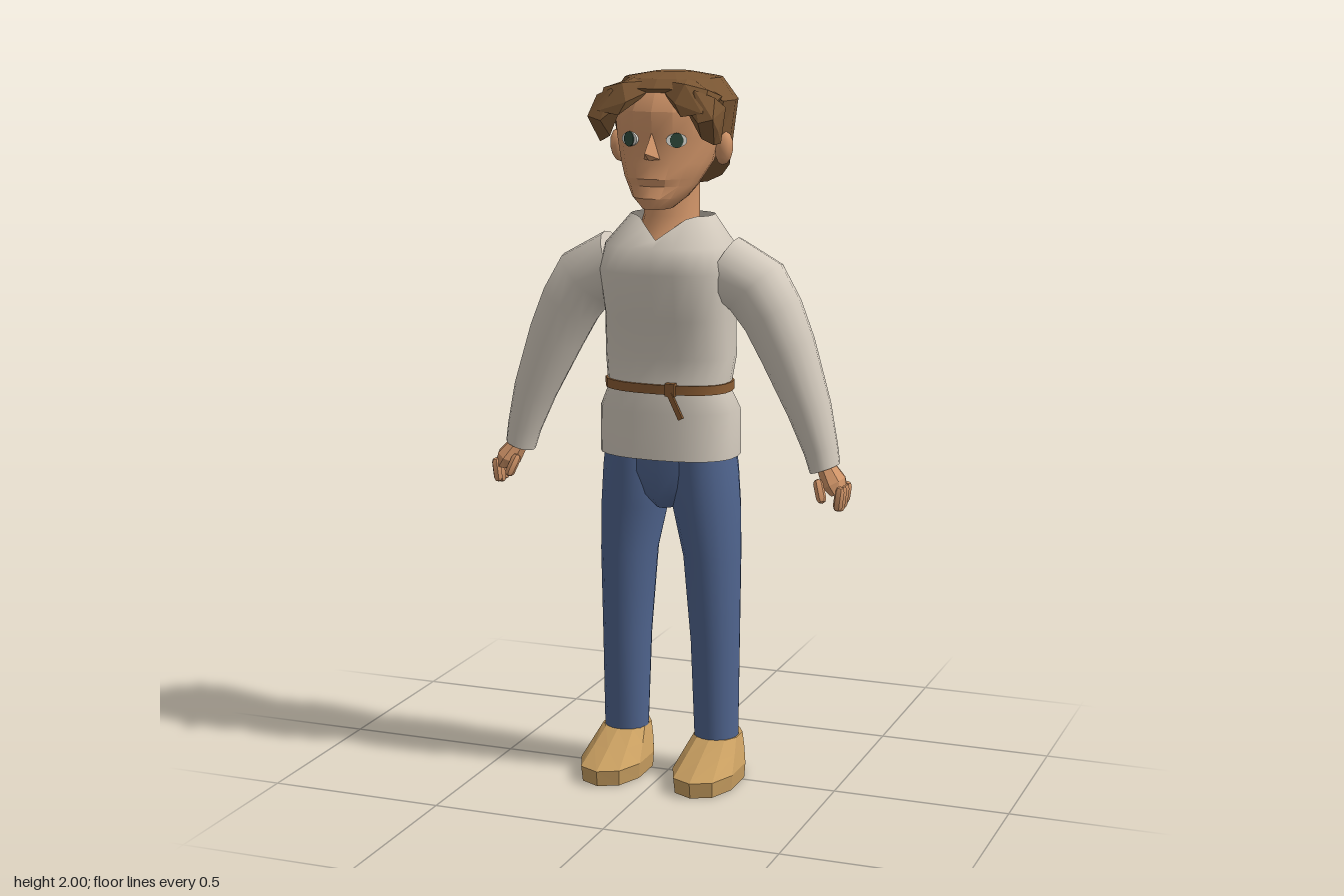
import * as THREE from 'three';
import { toCreasedNormals } from 'three/addons/utils/BufferGeometryUtils.js';
import { ConvexGeometry } from 'three/addons/geometries/ConvexGeometry.js';

const V = (x, y, z) => new THREE.Vector3(x, y, z);
const material = (name, color) => Object.assign(new THREE.MeshStandardMaterial({ color }), { name });

// One cross-section: centre x and y, half width, back and front z, tilt in the xy plane.
function ring([cx, cy, rx, zBack, zFront, tilt = 0], n, p = 1) {
  const cz = (zBack + zFront) / 2, rz = (zFront - zBack) / 2;
  const soft = (v) => Math.sign(v) * Math.abs(v) ** p;
  return Array.from({ length: n }, (_, i) => {
    const a = (i / n) * Math.PI * 2, u = rx * soft(Math.sin(a));
    return V(cx + u * Math.cos(tilt), cy + u * Math.sin(tilt), cz + rz * soft(Math.cos(a)));
  });
}

// Skin over closed rings given from bottom to top, with optional end caps.
function skin(rings, { caps = true, flat = false } = {}) {
  const n = rings[0].length, pts = rings.flat(), idx = [];
  for (let j = 0; j < rings.length - 1; j++)
    for (let i = 0; i < n; i++) {
      const a = j * n + i, b = j * n + ((i + 1) % n);
      idx.push(a, b, b + n, a, b + n, a + n);
    }
  if (caps) [rings[0], rings[rings.length - 1]].forEach((r, end) => {
    const base = pts.length;
    const mid = r.reduce((s, v) => s.add(v), V(0, 0, 0)).divideScalar(n);
    pts.push(...r, mid);
    for (let i = 0; i < n; i++) {
      const a = base + i, b = base + ((i + 1) % n);
      end ? idx.push(a, b, base + n) : idx.push(b, a, base + n);
    }
  });
  let g = new THREE.BufferGeometry().setFromPoints(pts);
  g.setIndex(idx);
  if (flat) g = g.toNonIndexed();
  g.computeVertexNormals();
  return g;
}
const loft = (rows, n, opt = {}) => skin(rows.map((r) => ring(r, n, opt.p)), opt);

// Copy of a geometry reflected in x, with the corner order restored.
function mirrored(geo) {
  const g = geo.index ? geo.toNonIndexed() : geo.clone();
  g.scale(-1, 1, 1);
  for (const key of ['position', 'normal']) {
    const at = g.attributes[key], a = V(0, 0, 0), b = V(0, 0, 0);
    for (let i = 0; i < at.count; i += 3) {
      a.fromBufferAttribute(at, i + 1);
      b.fromBufferAttribute(at, i + 2);
      at.setXYZ(i + 1, b.x, b.y, b.z);
      at.setXYZ(i + 2, a.x, a.y, a.z);
    }
  }
  return g;
}

// Low-poly capsule between two points.
function finger(a, b, r) {
  const d = b.clone().sub(a);
  let g = new THREE.CapsuleGeometry(r, d.length() - r, 2, 6);
  g.applyQuaternion(new THREE.Quaternion().setFromUnitVectors(V(0, 1, 0), d.normalize()));
  g.translate((a.x + b.x) / 2, (a.y + b.y) / 2, (a.z + b.z) / 2);
  return toCreasedNormals(g, 0.6);
}

export function createModel() {
  const root = new THREE.Group();
  root.name = 'standingMan';
  const shirt = material('shirtCream', 0xd3cabd);
  shirt.side = THREE.DoubleSide;
  const skinTone = material('skin', 0xd09468);
  const hair = material('hairBrown', 0x7a5633);
  const denim = material('trouserBlue', 0x50658f);
  const tan = material('shoeTan', 0xc99f61);
  const leather = material('beltBrown', 0x8a5c33);
  const white = material('eyeWhite', 0xe4e4dc);
  const green = material('irisGreen', 0x2f4a3c);

  const add = (name, geo, mat) => {
    const m = new THREE.Mesh(geo, mat);
    m.name = name;
    root.add(m);
    return m;
  };
  const pair = (name, geo, mat) => {
    add(name + 'Left', geo, mat);
    add(name + 'Right', mirrored(geo), mat);
  };

  // Shirt body, open at hem and collar, with a V notch in front
  const body = [
    [0, 0.94, 0.2, -0.15, 0.115], [0, 1.07, 0.199, -0.145, 0.11], [0, 1.12, 0.178, -0.122, 0.1],
    [0, 1.155, 0.178, -0.122, 0.098], [0, 1.22, 0.187, -0.132, 0.09], [0, 1.33, 0.183, -0.15, 0.115],
    [0, 1.46, 0.195, -0.17, 0.145], [0, 1.53, 0.18, -0.158, 0.128], [0, 1.61, 0.118, -0.12, 0.045],
  ].map((r) => ring(r, 24, 0.82));
  for (const v of body[body.length - 1]) {
    const dip = v.z > 0 ? Math.max(0, 1 - Math.abs(v.x) / 0.075) : 0;
    v.y -= 0.06 * dip;
    v.z += 0.055 * dip;
  }
  add('shirtBody', skin(body, { caps: false }), shirt);

  // Sleeves from cuff to shoulder
  pair('sleeve', loft([
    [0.457, 0.928, 0.043, -0.06, 0.042, 0.35], [0.445, 0.98, 0.048, -0.062, 0.045, 0.32],
    [0.41, 1.09, 0.062, -0.075, 0.055, 0.36], [0.345, 1.25, 0.08, -0.095, 0.065, 0.46],
    [0.3, 1.345, 0.088, -0.105, 0.07, 0.55], [0.25, 1.42, 0.096, -0.112, 0.075, 0.75],
    [0.15, 1.46, 0.105, -0.115, 0.075, 1.1],
  ], 16), shirt);

  // Belt with knot and hanging end
  add('belt', toCreasedNormals(loft([
    [0, 1.125, 0.183, -0.128, 0.106], [0, 1.151, 0.183, -0.128, 0.106],
  ], 24, { p: 0.82 }), 0.7), leather);
  add('beltKnot', new THREE.BoxGeometry(0.028, 0.036, 0.022), leather).position.set(0.045, 1.14, 0.103);
  const tail = add('beltEnd', new THREE.BoxGeometry(0.014, 0.078, 0.01), leather);
  tail.position.set(0.062, 1.096, 0.112);
  tail.rotation.z = 0.45;

  // Trousers
  add('trouserSeat', loft([
    [0, 0.79, 0.035, -0.09, 0.05], [0, 0.83, 0.09, -0.125, 0.08],
    [0, 0.9, 0.17, -0.138, 0.095], [0, 1.0, 0.183, -0.13, 0.095],
  ], 20), denim);
  pair('trouserLeg', loft([
    [0.138, 0.1, 0.063, -0.09, 0.04], [0.134, 0.4, 0.069, -0.105, 0.058],
    [0.125, 0.65, 0.08, -0.12, 0.078], [0.108, 0.79, 0.095, -0.132, 0.088],
    [0.1, 0.9, 0.095, -0.138, 0.095], [0.092, 1.0, 0.09, -0.13, 0.095],
  ], 18), denim);

  // Faceted shoes
  pair('shoe', loft([
    [0.14, 0, 0.09, -0.12, 0.2], [0.14, 0.045, 0.094, -0.122, 0.207],
    [0.14, 0.085, 0.08, -0.122, 0.12], [0.14, 0.12, 0.067, -0.115, 0.045],
  ], 10, { flat: true, p: 0.9 }), tan);

  // Palms, fingers and thumbs
  pair('palm', loft([
    [0.503, 0.868, 0.022, -0.04, 0.048, 0.5], [0.487, 0.893, 0.036, -0.044, 0.05, 0.5],
    [0.463, 0.93, 0.028, -0.04, 0.028, 0.4],
  ], 8, { flat: true }), skinTone);
  [-0.033, -0.009, 0.015, 0.039].forEach((z, i) => {
    const tip = 0.822 + [0.014, 0.004, 0, 0.006][i];
    pair('finger' + (i + 1), finger(V(0.515, 0.885, z), V(0.508, tip, z), 0.0135), skinTone);
  });
  pair('thumb', finger(V(0.45, 0.9, 0.035), V(0.468, 0.85, 0.054), 0.014), skinTone);

  // Neck and upper chest
  add('neck', loft([
    [0, 1.48, 0.1, -0.1, 0.11], [0, 1.56, 0.086, -0.1, 0.085],
    [0, 1.61, 0.079, -0.096, 0.042], [0, 1.75, 0.079, -0.095, 0.04],
  ], 14), skinTone);

  // Head from chin to crown
  add('head', toCreasedNormals(loft([
    [0, 1.638, 0.04, 0.02, 0.14], [0, 1.668, 0.075, -0.03, 0.15], [0, 1.7, 0.098, -0.06, 0.136],
    [0, 1.72, 0.108, -0.08, 0.143], [0, 1.76, 0.128, -0.12, 0.13], [0, 1.83, 0.145, -0.145, 0.127],
    [0, 1.9, 0.15, -0.155, 0.132], [0, 1.955, 0.125, -0.14, 0.1], [0, 1.98, 0.07, -0.1, 0.05],
  ], 16), 0.6), skinTone);
  add('nose', new ConvexGeometry([
    V(0, 1.85, 0.122), V(0, 1.793, 0.182), V(0.024, 1.772, 0.122), V(-0.024, 1.772, 0.122), V(0, 1.772, 0.15),
  ]), skinTone);
  const ear = new THREE.SphereGeometry(1, 8, 6);
  ear.scale(0.026, 0.046, 0.029).rotateZ(-0.12).translate(0.154, 1.795, -0.022);
  pair('ear', ear, skinTone);

  // Eyes as thin discs set on the face
  const disc = (rx, ry, lift) => {
    const g = new THREE.CylinderGeometry(1, 1, 0.006, 14);
    return g.rotateX(Math.PI / 2).scale(rx, ry, 1).translate(0, 0, lift).rotateY(0.42).translate(0.067, 1.825, 0.115);
  };
  pair('eyeWhite', disc(0.029, 0.019, 0), white);
  pair('iris', disc(0.018, 0.0205, 0.003), green);

  // Hair cap: long at the back, cut away over the face
  const brim = ring([0, 1.925, 0.178, -0.208, 0.115], 16);
  const crown = ring([0, 1.985, 0.135, -0.17, 0.085], 16);
  const peak = ring([0, 2, 0.05, -0.09, 0.005], 16);
  const hem = brim.map((v) => (v.z > 0.045
    ? V(v.x * 0.9, 1.95, v.z * 0.9)
    : V(v.x * 0.9, 1.715 + (v.z + 0.155) * 0.65, -0.03 + (v.z + 0.03) * 0.7)));
  for (const v of brim) if (v.z > 0.045) v.y = 1.96;
  add('hairCap', skin([hem, brim, crown, peak], { flat: true }), hair);

  // Parted fringe, two lumps on each side
  pair('fringeInner', new ConvexGeometry([
    V(0.0, 1.98, 0.06), V(0.012, 1.957, 0.085), V(0.07, 1.99, 0.03), V(0.09, 1.975, 0.115), V(0.07, 1.925, 0.14),
    V(0.09, 1.89, 0.145), V(0.15, 1.96, 0.1), V(0.15, 1.9, 0.145), V(0.15, 1.9, 0.05), V(0.17, 1.94, 0.04),
  ]), hair);
  pair('fringeOuter', new ConvexGeometry([
    V(0.085, 1.925, 0.12), V(0.12, 1.96, 0.12), V(0.17, 1.94, 0.1), V(0.18, 1.91, 0.04), V(0.18, 1.885, 0.144),
    V(0.14, 1.875, 0.15), V(0.132, 1.83, 0.1), V(0.165, 1.813, 0.09), V(0.17, 1.815, 0.05), V(0.15, 1.85, 0.03),
    V(0.18, 1.85, 0.1),
  ]), hair);

  return root;
}
